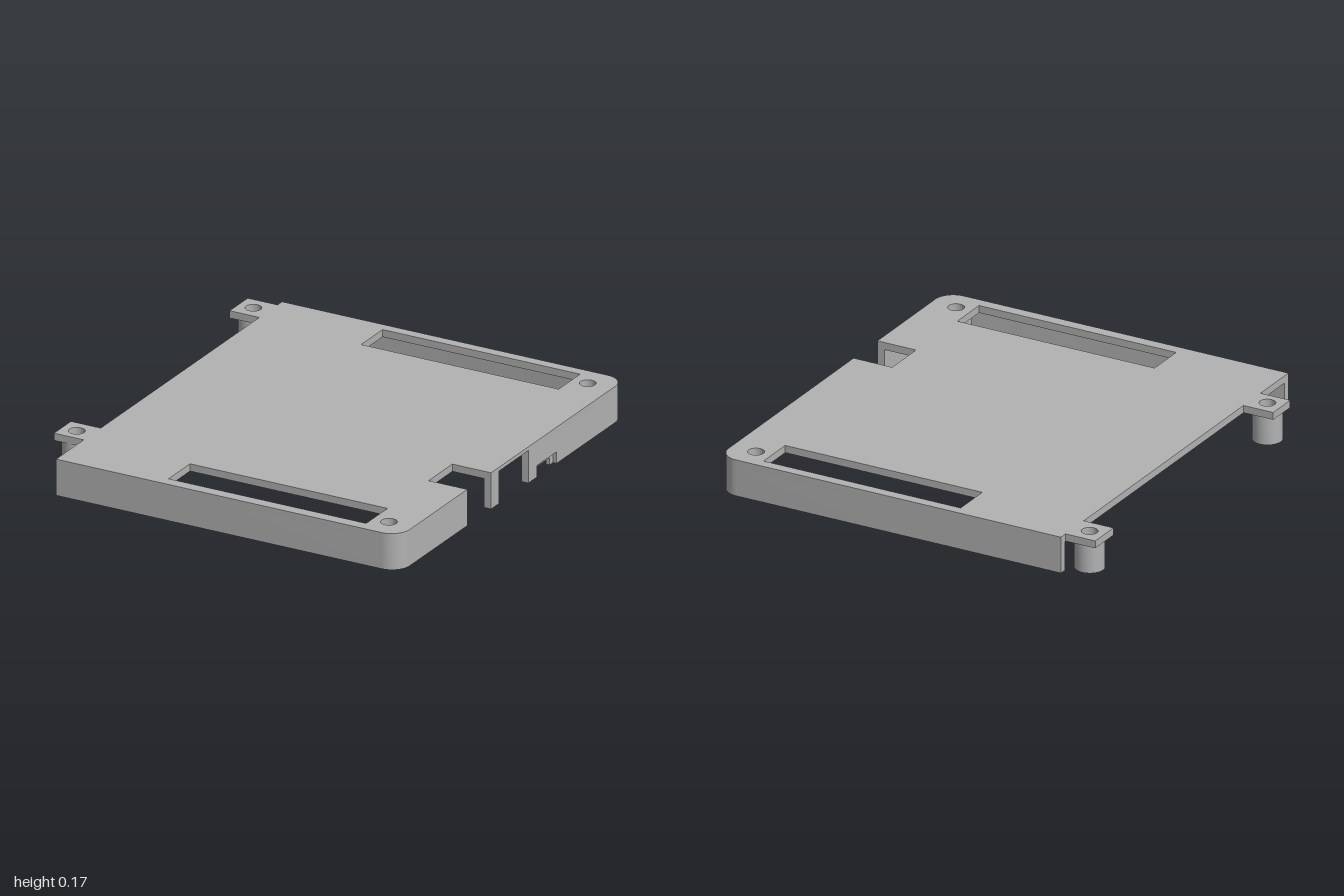
import * as THREE from 'three';
import { toCreasedNormals } from 'three/addons/utils/BufferGeometryUtils.js';

const TOP = 0.173, UNDER = 0.138;        // top and underside of the plate
const LEFT = -0.79, RIGHT = 0.94, INNER = 0.905, R = 0.09, T = 0.035;

export function createModel() {
  const group = new THREE.Group();
  const grey = new THREE.MeshStandardMaterial({ color: 0xb2b2b2 });
  grey.name = 'plain grey';

  const add = (name, geometry) => {
    const mesh = new THREE.Mesh(geometry, grey);
    mesh.name = name;
    group.add(mesh);
    return mesh;
  };
  // Extrude a plan shape (x, z) downwards from y = top to y = bottom
  const slab = (name, shape, top, bottom) => {
    const geo = new THREE.ExtrudeGeometry(shape, { depth: top - bottom, bevelEnabled: false, curveSegments: 20 });
    geo.rotateX(Math.PI / 2).translate(0, top, 0);
    return add(name, toCreasedNormals(geo, 0.5));
  };
  const box = (name, x0, x1, y0, y1, z0, z1) => {
    const geo = new THREE.BoxGeometry(x1 - x0, y1 - y0, z1 - z0);
    add(name, geo.translate((x0 + x1) / 2, (y0 + y1) / 2, (z0 + z1) / 2));
  };
  const circleHole = (x, z, r) => new THREE.Path().absarc(x, z, r, 0, Math.PI * 2, true);
  const rectHole = (x0, x1, z0, z1) => new THREE.Path([
    [x0, z0], [x0, z1], [x1, z1], [x1, z0],
  ].map(p => new THREE.Vector2(...p)));

  // Bosses: [x, z, hole radius]
  const bosses = [
    [0.818, -0.88, 0.034], [0.818, 0.88, 0.034],
    [-0.866, -0.88, 0.034], [-0.866, 0.683, 0.034],
  ];

  // Top plate with two tabs, a deep notch and a shallow port recess
  const plate = new THREE.Shape();
  plate.moveTo(LEFT, -1);
  plate.lineTo(RIGHT - R, -1);
  plate.absarc(RIGHT - R, -1 + R, R, -Math.PI / 2, 0, false);
  for (const [x, z] of [
    [RIGHT, -0.14], [INNER, -0.14], [INNER, 0.12], [RIGHT, 0.12],
    [RIGHT, 0.19], [0.745, 0.19], [0.745, 0.4], [RIGHT, 0.4],
  ]) plate.lineTo(x, z);
  plate.absarc(RIGHT - R, 1 - R, R, 0, Math.PI / 2, false);
  for (const [x, z] of [
    [LEFT, 1], [LEFT, 0.755], [-0.94, 0.755], [-0.94, 0.605], [LEFT, 0.605],
    [LEFT, -0.80], [-0.94, -0.80], [-0.94, -0.96], [LEFT, -0.96],
  ]) plate.lineTo(x, z);
  plate.holes.push(rectHole(-0.255, 0.74, -0.95, -0.76), rectHole(-0.255, 0.74, 0.755, 0.945));
  for (const [x, z, r] of bosses) plate.holes.push(circleHole(x, z, r + 0.003));
  slab('topPlate', plate, TOP, UNDER);

  // Hollow screw bosses
  for (const [x, z, r] of bosses) {
    const ring = new THREE.Shape().absarc(x, z, 0.068, 0, Math.PI * 2, false);
    ring.holes.push(circleHole(x, z, r));
    slab('screwBoss', ring, UNDER, 0);
  }

  // Front and back walls, each with a rounded corner
  for (const s of [-1, 1]) {
    const wall = new THREE.Shape();
    wall.moveTo(LEFT, s);
    wall.lineTo(RIGHT - R, s);
    wall.absarc(RIGHT - R, s * (1 - R), R, s * Math.PI / 2, 0, s > 0);
    wall.lineTo(INNER, s * (1 - R));
    wall.absarc(RIGHT - R, s * (1 - R), R - T, 0, s * Math.PI / 2, s < 0);
    wall.lineTo(LEFT, s * (1 - T));
    slab(s > 0 ? 'frontWall' : 'backWall', wall, UNDER, 0);
  }

  // Port side wall, split around its openings: [y0, y1, z0, z1]
  for (const [y0, y1, z0, z1] of [
    [0, UNDER, 0.4, 1 - R],
    [0, UNDER, 0.12, 0.19],
    [0.155, TOP, -0.14, 0.12],
    [0, UNDER, -0.215, -0.14],
    [0.055, UNDER, -0.39, -0.215],
    [0, UNDER, -1 + R, -0.39],
  ]) box('portWall', INNER, RIGHT, y0, y1, z0, z1);

  // Recessed frame of the small port
  const frameX = 0.922;
  box('smallPortFrame', INNER, frameX, 0, 0.055, -0.25, -0.215);
  box('smallPortFrame', INNER, frameX, 0, 0.055, -0.39, -0.36);
  box('smallPortFrame', INNER, frameX, 0.035, 0.055, -0.36, -0.25);

  return group;
}
